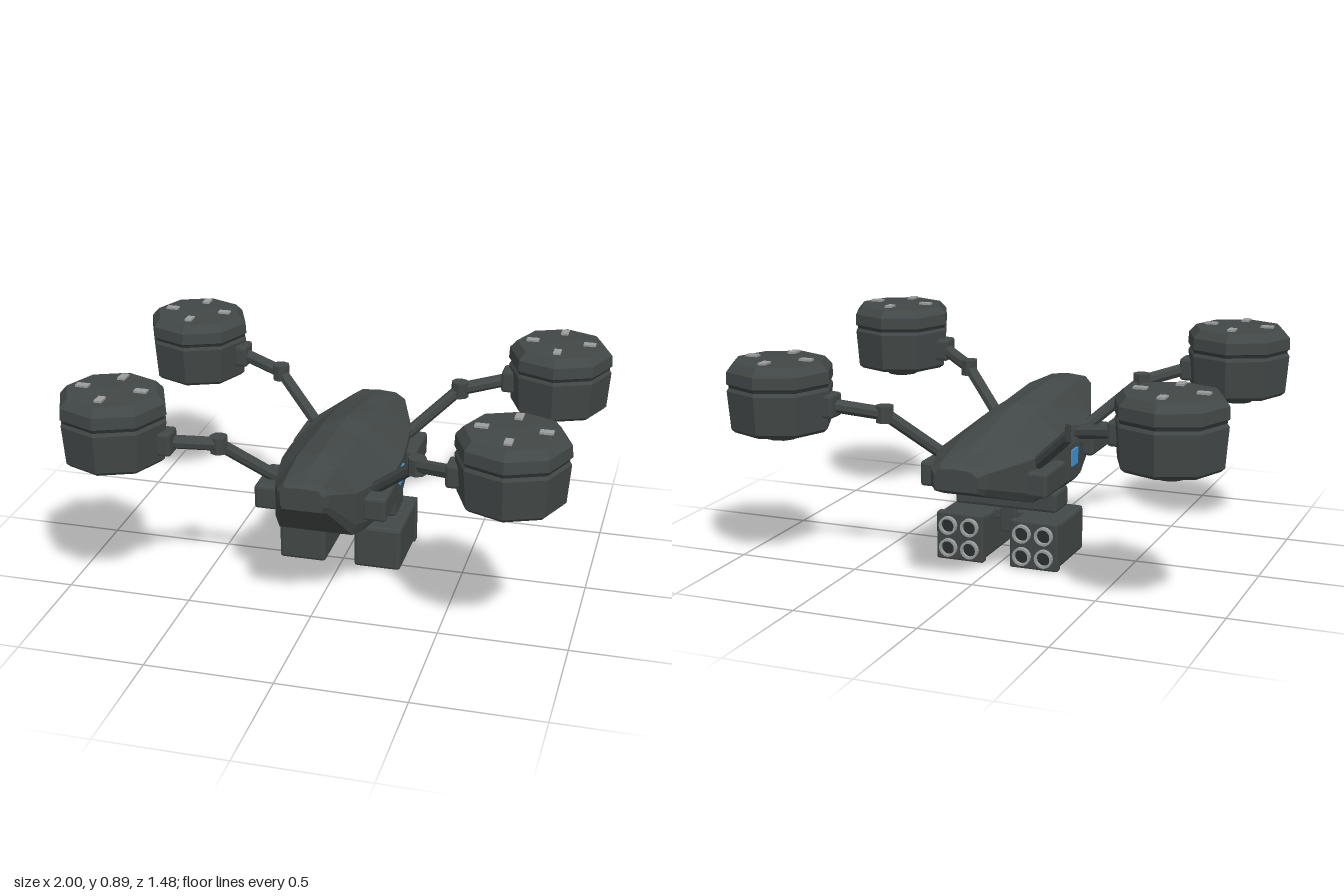
import * as THREE from 'three';
import { RoundedBoxGeometry } from 'three/addons/geometries/RoundedBoxGeometry.js';

const flat = (name, color) => {
  const m = new THREE.MeshStandardMaterial({ color, flatShading: true });
  m.name = name;
  return m;
};
const hullGrey = flat('hull grey', 0x424847);
const darkGrey = flat('dark grey', 0x2a2e2e);
const lightGrey = flat('light grey', 0x9c9e9e);
const blue = flat('panel blue', 0x3f93d6);
lightGrey.side = THREE.DoubleSide;

function add(parent, name, geometry, material, x = 0, y = 0, z = 0) {
  const mesh = new THREE.Mesh(geometry, material);
  mesh.name = name;
  mesh.position.set(x, y, z);
  parent.add(mesh);
  return mesh;
}

// Box with chamfered edges, given by its extents
function chamferBox(parent, name, [x0, x1], [y0, y1], [z0, z1], r = 0.012, material = hullGrey) {
  const g = new RoundedBoxGeometry(x1 - x0, y1 - y0, z1 - z0, 1, r);
  return add(parent, name, g, material, (x0 + x1) / 2, (y0 + y1) / 2, (z0 + z1) / 2);
}

// Straight round bar between two points
function bar(parent, name, a, b, r) {
  const from = new THREE.Vector3(...a), to = new THREE.Vector3(...b);
  const dir = to.clone().sub(from);
  const mesh = add(parent, name, new THREE.CylinderGeometry(r, r, dir.length(), 8), hullGrey);
  mesh.position.copy(from).add(to).multiplyScalar(0.5);
  mesh.quaternion.setFromUnitVectors(new THREE.Vector3(0, 1, 0), dir.normalize());
  return mesh;
}

// Hull lofted through faceted cross-sections, back to front
function hullGeometry() {
  // z, ridge y, shoulder x, shoulder y, side x, upper side y, lower side y, belly x, belly y
  const sections = [
    [-0.645, 0.495, 0.06, 0.49, 0.088, 0.47, 0.43, 0.08, 0.41],
    [-0.61, 0.513, 0.075, 0.507, 0.115, 0.48, 0.42, 0.1, 0.395],
    [-0.33, 0.567, 0.1, 0.545, 0.205, 0.48, 0.335, 0.185, 0.3],
    [-0.05, 0.618, 0.09, 0.59, 0.236, 0.465, 0.32, 0.21, 0.293],
    [0.08, 0.617, 0.09, 0.592, 0.234, 0.465, 0.32, 0.21, 0.291],
    [0.35, 0.632, 0.09, 0.61, 0.18, 0.5, 0.36, 0.165, 0.318],
    [0.42, 0.628, 0.085, 0.608, 0.16, 0.51, 0.38, 0.145, 0.333],
    [0.59, 0.61, 0.075, 0.603, 0.1, 0.575, 0.525, 0.09, 0.5],
    [0.615, 0.6, 0.065, 0.597, 0.082, 0.575, 0.53, 0.075, 0.51],
  ];
  const n = 8, pos = [], idx = [];
  for (const [z, top, ax, ay, w, m, l, bx, by] of sections) {
    const half = [[ax, ay], [w, m], [w, l], [bx, by]];
    const ring = [[0, top], ...half, ...half.slice().reverse().map(([x, y]) => [-x, y])];
    for (const [x, y] of ring) pos.push(x, y, z);
  }
  const k = n + 1, last = (sections.length - 1) * k;
  for (let s = 0; s < sections.length - 1; s++) {
    for (let i = 0; i < k; i++) {
      const a = s * k + i, b = s * k + (i + 1) % k;
      idx.push(a, a + k, b, b, a + k, b + k);
    }
  }
  for (let i = 1; i < k - 1; i++) {
    idx.push(0, i, i + 1);
    idx.push(last, last + i + 1, last + i);
  }
  const g = new THREE.BufferGeometry();
  g.setAttribute('position', new THREE.Float32BufferAttribute(pos, 3));
  g.setIndex(idx);
  g.computeVertexNormals();
  return g;
}

const lathe = (pts, sides) => new THREE.LatheGeometry(pts.map(p => new THREE.Vector2(...p)), sides);

// Eight-sided rotor housing, origin at its bottom face
function rotor(parent, name, x, y, z) {
  const g = new THREE.Group();
  g.name = name;
  g.position.set(x, y, z);
  parent.add(g);
  add(g, 'rotorHousing', lathe([
    [0, 0], [0.185, 0], [0.2, 0.014], [0.212, 0.165], [0.204, 0.178],
  ], 8), hullGrey);
  add(g, 'rotorGroove', lathe([[0.204, 0.178], [0.204, 0.187]], 8), darkGrey);
  add(g, 'rotorCap', lathe([
    [0.204, 0.187], [0.214, 0.194], [0.211, 0.24], [0.182, 0.272], [0, 0.28],
  ], 8), hullGrey);
  add(g, 'rotorHub', lathe([[0, -0.036], [0.065, -0.036], [0.086, -0.015], [0.086, 0.002]], 10), hullGrey);
  // Four vents around the cap
  for (let i = 0; i < 4; i++) {
    const a = i * Math.PI / 2;
    const vent = add(g, 'capVent', new THREE.BoxGeometry(0.05, 0.008, 0.03), lightGrey,
      Math.cos(a) * 0.117, 0.28, Math.sin(a) * 0.117);
    vent.rotation.y = -a;
  }
}

// One arm with elbow, clamp and rotor
function arm(parent, side, spec) {
  const { name, root, elbow, clamp, centre } = spec;
  const at = ([x, y, z]) => [x * side, y, z];
  const g = new THREE.Group();
  g.name = name;
  parent.add(g);
  bar(g, 'innerArm', at(root), at(elbow), 0.025);
  bar(g, 'outerArm', at(elbow), at(clamp), 0.027);
  add(g, 'elbow', new THREE.CylinderGeometry(0.036, 0.036, 0.066, 8), hullGrey, ...at(elbow));
  const [cx, cy, cz] = at(clamp);
  chamferBox(g, 'rotorClamp', [cx - 0.03, cx + 0.03], [cy - 0.047, cy + 0.047], [cz - 0.046, cz + 0.046]);
  rotor(g, 'rotor', ...at(centre));
}

// Launcher box with four rear tubes
function launcher(parent, side) {
  const g = new THREE.Group();
  g.name = side > 0 ? 'leftLauncher' : 'rightLauncher';
  parent.add(g);
  const cx = side * 0.157;
  chamferBox(g, 'launcherBody', [cx - 0.097, cx + 0.097], [0.006, 0.19], [-0.225, 0.067], 0.014);
  chamferBox(g, 'launcherRim', [cx - 0.1, cx + 0.1], [0, 0.196], [-0.252, -0.212], 0.007);
  for (const dx of [-0.046, 0.046]) for (const y of [0.053, 0.145]) {
    const tube = add(g, 'launchTube', lathe([
      [0.028, -0.015], [0.028, 0.02], [0.037, 0.02], [0.037, -0.015],
    ], 16), lightGrey, cx + dx, y, -0.25);
    tube.rotation.x = -Math.PI / 2;
    const plug = add(g, 'tubeInside', new THREE.CircleGeometry(0.029, 16), darkGrey, cx + dx, y, -0.256);
    plug.rotation.y = Math.PI;
  }
}

export function createModel() {
  const model = new THREE.Group();
  model.name = 'quadRotorDrone';
  add(model, 'hull', hullGeometry(), hullGrey);

  for (const side of [-1, 1]) {
    const xs = side > 0 ? [0.17, 0.263] : [-0.263, -0.17];
    chamferBox(model, 'frontSidePod', xs, [0.372, 0.47], [0.148, 0.368]);
    chamferBox(model, 'rearSidePod', xs, [0.337, 0.437], [-0.39, -0.17]);
    add(model, 'sidePanel', new THREE.BoxGeometry(0.009, 0.066, 0.066), blue, side * 0.239, 0.409, -0.008);

    arm(model, side, {
      name: 'frontArm', root: [0.18, 0.455, 0.26], elbow: [0.388, 0.645, 0.4],
      clamp: [0.555, 0.69, 0.522], centre: [0.762, 0.605, 0.522],
    });
    arm(model, side, {
      name: 'rearArm', root: [0.18, 0.44, -0.305], elbow: [0.388, 0.625, -0.433],
      clamp: [0.583, 0.66, -0.51], centre: [0.786, 0.555, -0.53],
    });
    launcher(model, side);
  }

  // Launcher mount under the belly
  chamferBox(model, 'mountBar', [-0.216, 0.216], [0.208, 0.292], [-0.155, -0.012]);
  chamferBox(model, 'mountNeck', [-0.035, 0.035], [0.1, 0.215], [-0.125, -0.045], 0.006);
  chamferBox(model, 'mountBracket', [-0.07, 0.07], [0.148, 0.19], [-0.115, -0.055], 0.006);
  return model;
}
